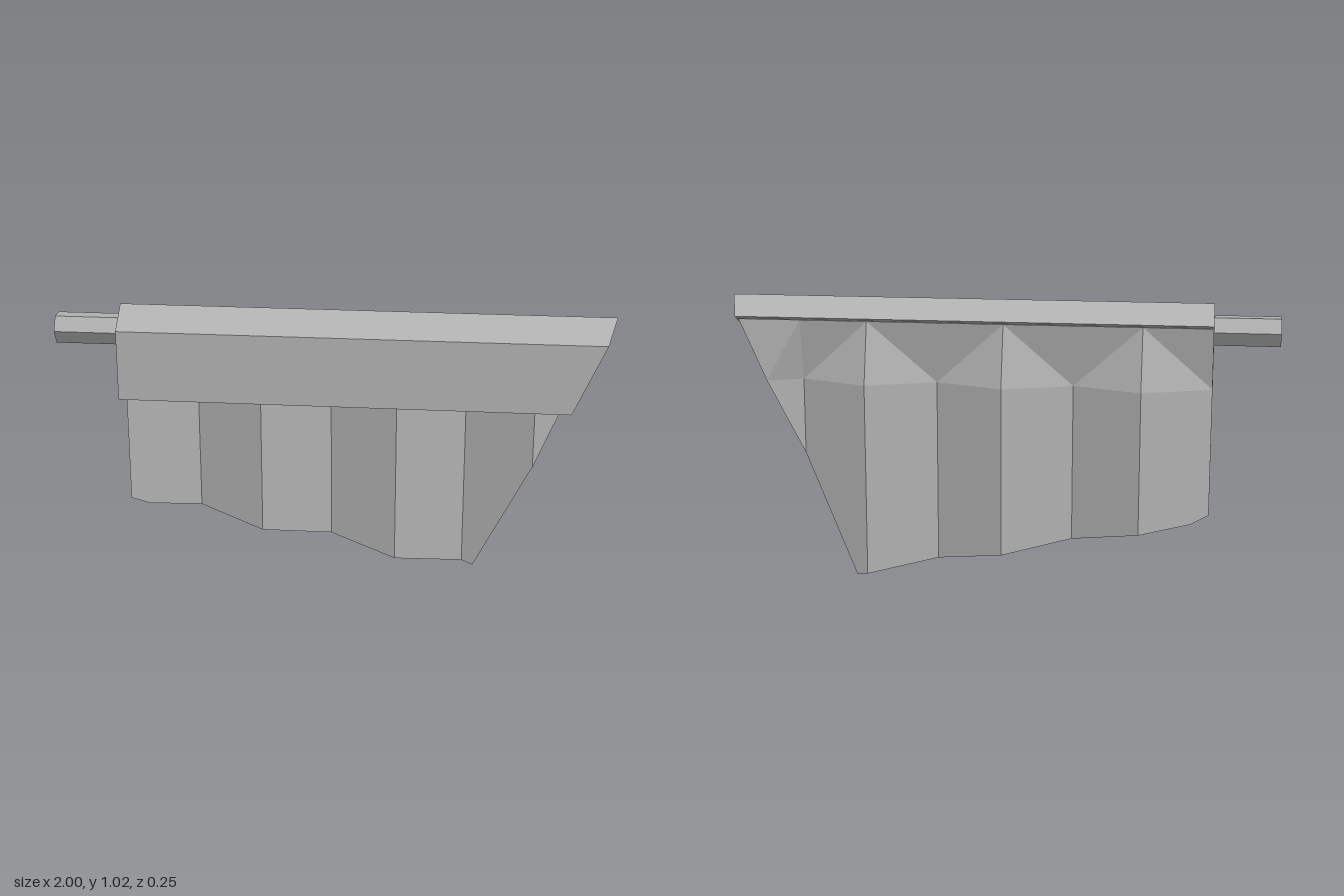
import * as THREE from 'three';

const grey = new THREE.MeshStandardMaterial({ color: 0xb0b0b0, flatShading: true });
grey.name = 'plain grey';

const LEFT = -0.765, TOP = 0.945, BEND = 0.72, THICK = 0.022, FOLD = 0.249;

function mesh(name, geometry) {
  const m = new THREE.Mesh(geometry, grey);
  m.name = name;
  return m;
}

// Folded cover over the rod, its right end cut on a slant
function makeCover() {
  const profile = [
    [0.125, 0.69], [0.125, 0.945], [0.03, 1.022], [-0.063, 0.953],
    [-0.05, 0.936], [0.03, 0.996], [0.101, 0.937], [0.101, 0.69],
  ].map(([z, y]) => new THREE.Vector2(-z, y));
  const g = new THREE.ExtrudeGeometry(new THREE.Shape(profile), { depth: 1, bevelEnabled: false });
  g.rotateY(Math.PI / 2);
  const p = g.attributes.position;
  for (let i = 0; i < p.count; i++) {
    p.setX(i, p.getX(i) > 0.5 ? Math.min(1, 0.545 + 0.447 * p.getY(i)) : LEFT);
  }
  g.computeVertexNormals();
  return mesh('cover', g);
}

// Hexagonal rod
function makeRod() {
  const g = new THREE.CylinderGeometry(0.0575, 0.0575, 1.94, 6);
  g.rotateZ(Math.PI / 2).translate(-0.03, 0.926, 0.027);
  return mesh('rod', g);
}

// Pleated sheet: zigzag folds below the bend, flattening to a straight top edge
function makeSheet() {
  const out = [];
  const pleat = (x) => {
    const t = (((x - LEFT) / FOLD) % 2 + 2) % 2;
    return -0.101 * (t < 1 ? t : 2 - t);
  };
  const low = (x, y) => [x, y, pleat(x)];
  const high = (x) => [x, TOP, -0.043];
  const back = ([x, y, z]) => [x, y, z - THICK];
  const face = (a, b, c) => out.push(...a, ...b, ...c);
  const both = (a, b, c) => {
    face(a, b, c);
    face(back(a), back(c), back(b));
  };

  // hanging panels
  const folds = [0, 1, 2, 3, 4, 5, 6].map((i) => LEFT + i * FOLD);
  const hem = [
    [folds[0], 0.255], [-0.7, 0.225], [folds[1], 0.198], [folds[2], 0.146], [folds[3], 0.102],
    [folds[4], 0.052], [folds[5], 0.01], [0.522, 0], [folds[6], 0.44], [0.855, BEND],
  ];
  for (let i = 0; i < hem.length - 1; i++) {
    const [x0, y0] = hem[i], [x1, y1] = hem[i + 1];
    both(low(x0, y0), low(x1, y1), low(x1, BEND));
    if (y0 < BEND) both(low(x0, y0), low(x1, BEND), low(x0, BEND));
  }

  // gathered band between the bend and the top edge
  for (let i = 0; i < 6; i++) {
    const a = low(folds[i], BEND), b = low(folds[i + 1], BEND);
    const A = high(folds[i]), B = high(folds[i + 1]);
    if (i % 2) {
      both(a, b, A);
      both(b, B, A);
    } else {
      both(a, b, B);
      both(a, B, A);
    }
  }
  const corner = low(0.855, BEND), tip = high(0.957), last = high(folds[6]);
  both(low(folds[6], BEND), corner, last);
  both(corner, tip, last);

  // rim joining the two sides
  const rim = [...hem.map(([x, y]) => low(x, y)), tip, high(LEFT), low(LEFT, BEND)];
  rim.forEach((p, i) => {
    const q = rim[(i + 1) % rim.length];
    face(p, back(p), back(q));
    face(p, back(q), q);
  });

  const g = new THREE.BufferGeometry();
  g.setAttribute('position', new THREE.Float32BufferAttribute(out, 3));
  g.computeVertexNormals();
  return mesh('pleatedSheet', g);
}

export function createModel() {
  const group = new THREE.Group();
  group.name = 'pleatedBanner';
  group.add(makeCover(), makeRod(), makeSheet());
  return group;
}
